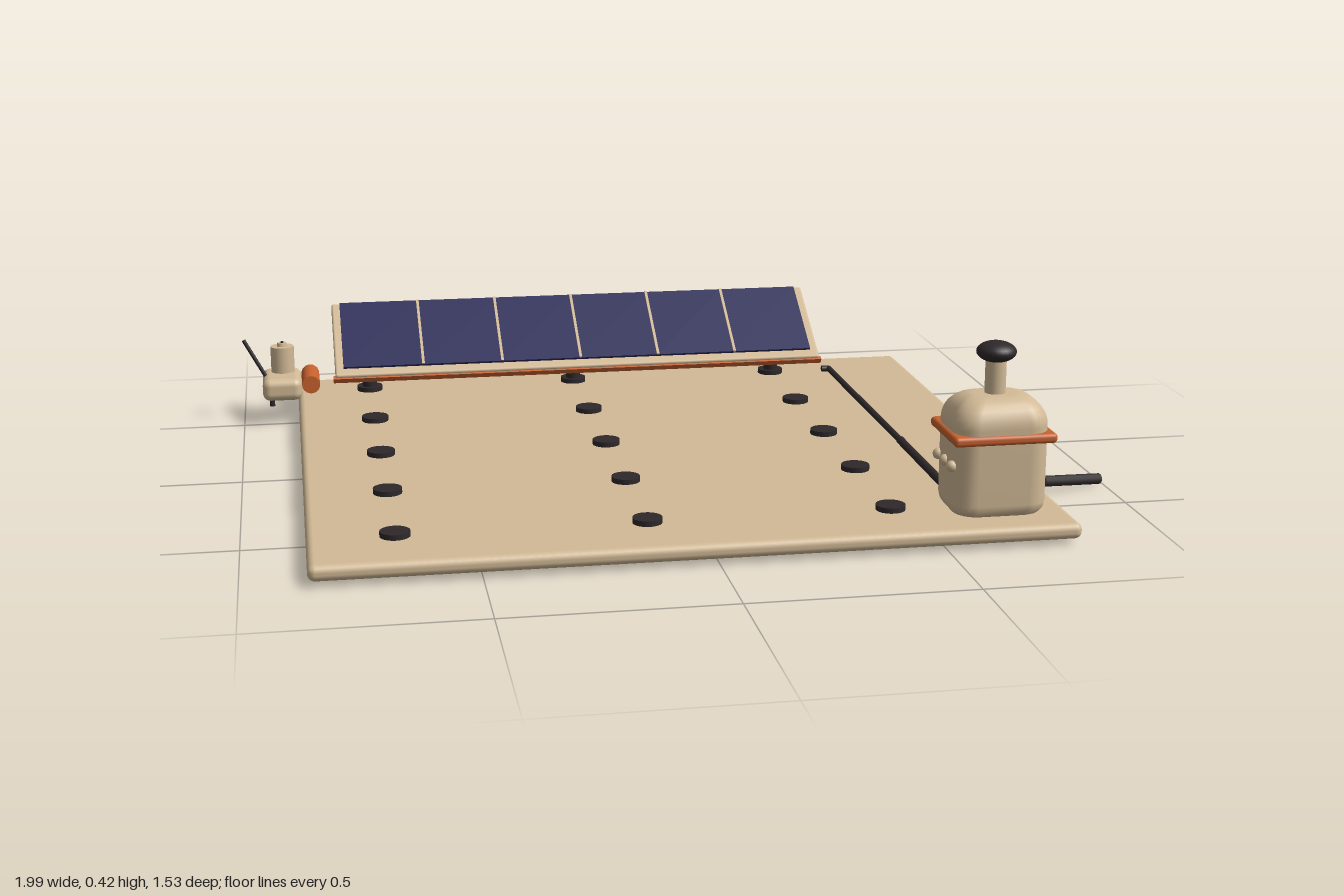
import * as THREE from 'three';
import { RoundedBoxGeometry } from 'three/addons/geometries/RoundedBoxGeometry.js';

const material = (name, color) => {
  const m = new THREE.MeshStandardMaterial({ color });
  m.name = name;
  return m;
};

// Smooth body lofted from rounded rectangles; profile rows are [y, inset]
function loftedBody(w, d, r, profile, seg = 6) {
  const pos = [], idx = [];
  const n = 4 * (seg + 1);
  const corners = [[1, -1], [-1, -1], [-1, 1], [1, 1]];
  for (const [y, inset] of profile) {
    const hx = w / 2 - inset, hz = d / 2 - inset;
    const cr = Math.max(r - inset * 0.4, 0.012);
    corners.forEach(([sx, sz], c) => {
      for (let k = 0; k <= seg; k++) {
        const a = (c + k / seg) * Math.PI / 2;
        pos.push(sx * (hx - cr) + cr * Math.cos(a), y, sz * (hz - cr) - cr * Math.sin(a));
      }
    });
  }
  for (let i = 0; i < profile.length - 1; i++) {
    for (let j = 0; j < n; j++) {
      const a = i * n + j, b = i * n + (j + 1) % n;
      idx.push(a, b, b + n, a, b + n, a + n);
    }
  }
  const last = (profile.length - 1) * n, bottom = pos.length / 3;
  pos.push(0, profile[0][0], 0, 0, profile[profile.length - 1][0], 0);
  for (let j = 0; j < n; j++) {
    const k = (j + 1) % n;
    idx.push(bottom, k, j, bottom + 1, last + j, last + k);
  }
  const g = new THREE.BufferGeometry();
  g.setAttribute('position', new THREE.Float32BufferAttribute(pos, 3));
  g.setIndex(idx);
  g.computeVertexNormals();
  return g;
}

export function createModel() {
  const model = new THREE.Group();
  model.name = 'solarPlatform';
  const tan = material('tan', 0xd2ba96);
  const dark = material('charcoal', 0x2e282a);
  const orange = material('orange', 0xc8622f);
  const navy = material('navy', 0x2a2a58);

  const add = (parent, name, geo, mat, x = 0, y = 0, z = 0) => {
    const m = new THREE.Mesh(geo, mat);
    m.name = name;
    m.position.set(x, y, z);
    parent.add(m);
    return m;
  };
  const group = (name, x, y, z) => {
    const g = new THREE.Group();
    g.name = name;
    g.position.set(x, y, z);
    model.add(g);
    return g;
  };
  // Straight round segments through a list of points, with rounded joints
  const pipe = (name, points, r, mat) => {
    const g = group(name, 0, 0, 0);
    const v = points.map(p => new THREE.Vector3(...p));
    for (let i = 0; i < v.length - 1; i++) {
      const dir = v[i + 1].clone().sub(v[i]);
      const mid = v[i].clone().add(v[i + 1]).multiplyScalar(0.5);
      const m = add(g, name + 'Segment', new THREE.CylinderGeometry(r, r, dir.length(), 10), mat, mid.x, mid.y, mid.z);
      m.quaternion.setFromUnitVectors(new THREE.Vector3(0, 1, 0), dir.normalize());
      if (i > 0) add(g, name + 'Joint', new THREE.SphereGeometry(r, 10, 8), mat, v[i].x, v[i].y, v[i].z);
    }
  };

  // Base slab
  add(model, 'basePlate', new RoundedBoxGeometry(1.66, 0.036, 1.535, 4, 0.016), tan, -0.03, 0.03, 0);

  // Grid of studs; the rear row carries the panel posts
  const columns = [-0.672, -0.128, 0.415];
  for (const x of columns) {
    for (let row = 0; row < 5; row++) {
      add(model, 'stud', new THREE.CylinderGeometry(0.033, 0.033, 0.014, 24), dark, x, 0.053, -0.632 + row * 0.307);
    }
    add(model, 'panelPost', new THREE.CylinderGeometry(0.019, 0.019, 0.16, 20), dark, x, 0.128, -0.628);
  }

  // Tilted solar panel
  const panel = group('solarPanel', -0.127, 0.194, -0.578);
  panel.rotation.x = THREE.MathUtils.degToRad(31);
  add(panel, 'panelFrame', new RoundedBoxGeometry(1.275, 0.02, 0.27, 3, 0.006), tan);
  const pitch = 1.232 / 6;
  for (let i = 0; i < 6; i++) {
    const x = (i - 2.5) * pitch;
    add(panel, 'solarCell', new THREE.BoxGeometry(pitch, 0.008, 0.24), navy, x, 0.012, -0.01);
    if (i > 0) add(panel, 'cellDivider', new THREE.BoxGeometry(0.007, 0.006, 0.24), tan, x - pitch / 2, 0.016, -0.01);
  }
  add(panel, 'panelLip', new THREE.BoxGeometry(1.285, 0.014, 0.012), orange, 0, -0.004, 0.134);

  // Canister with pump handle
  const canister = group('canister', 0.64, 0, 0.61);
  const profile = [[0.045, 0.02], [0.05, 0.01], [0.06, 0.003], [0.075, 0], [0.245, 0]];
  for (let i = 1; i <= 7; i++) {
    const a = i / 7 * Math.PI / 2;
    profile.push([0.245 + 0.064 * Math.sin(a), 0.06 * (1 - Math.cos(a))]);
  }
  add(canister, 'canisterBody', loftedBody(0.214, 0.178, 0.05, profile), tan);
  add(canister, 'canisterBand', new RoundedBoxGeometry(0.232, 0.022, 0.19, 3, 0.009), orange, 0, 0.224, 0);
  add(canister, 'canisterNeck', new THREE.CylinderGeometry(0.023, 0.023, 0.09, 24), tan, 0, 0.345, 0);
  const knob = add(canister, 'canisterKnob', new THREE.SphereGeometry(0.044, 28, 16), dark, 0, 0.401, 0);
  knob.scale.y = 0.53;
  for (const z of [-0.05, 0, 0.05]) {
    add(canister, 'canisterButton', new THREE.SphereGeometry(0.013, 14, 10), tan, -0.108, 0.16, z);
  }

  // Hose over the edge and the conduit running back along the slab
  pipe('hose', [[0.69, 0.062, 0.56], [0.74, 0.056, 0.5], [0.83, 0.034, 0.412], [0.99, 0.014, 0.352]], 0.013, dark);
  pipe('conduit', [[0.555, 0.057, -0.612], [0.575, 0.057, -0.612], [0.577, 0.057, 0.1]], 0.008, dark);
  pipe('conduitFront', [[0.577, 0.057, 0.1], [0.575, 0.057, 0.56]], 0.01, dark);

  // Side unit with its roller, turret, feet and antenna
  const unit = group('sideUnit', -0.9, 0, -0.55);
  add(unit, 'unitBody', new RoundedBoxGeometry(0.1, 0.058, 0.145, 4, 0.02), tan, 0, 0.094, 0);
  add(unit, 'unitTurret', new THREE.CylinderGeometry(0.03, 0.03, 0.08, 24), tan, 0.003, 0.15, -0.024);
  add(unit, 'turretCap', new THREE.CylinderGeometry(0.012, 0.014, 0.012, 16), tan, 0.003, 0.193, -0.024);
  add(unit, 'turretPin', new THREE.CylinderGeometry(0.004, 0.004, 0.004, 10), dark, 0.003, 0.2, -0.024);
  const roller = add(unit, 'unitRoller', new THREE.CylinderGeometry(0.023, 0.023, 0.125, 20), orange, 0.073, 0.105, 0);
  roller.rotation.x = Math.PI / 2;
  for (const z of [-0.05, 0.05]) {
    add(unit, 'unitFoot', new THREE.CylinderGeometry(0.007, 0.007, 0.026, 10), dark, -0.027, 0.063, z);
  }
  pipe('antenna', [[-0.938, 0.11, -0.55], [-0.994, 0.214, -0.55]], 0.005, dark);

  return model;
}
